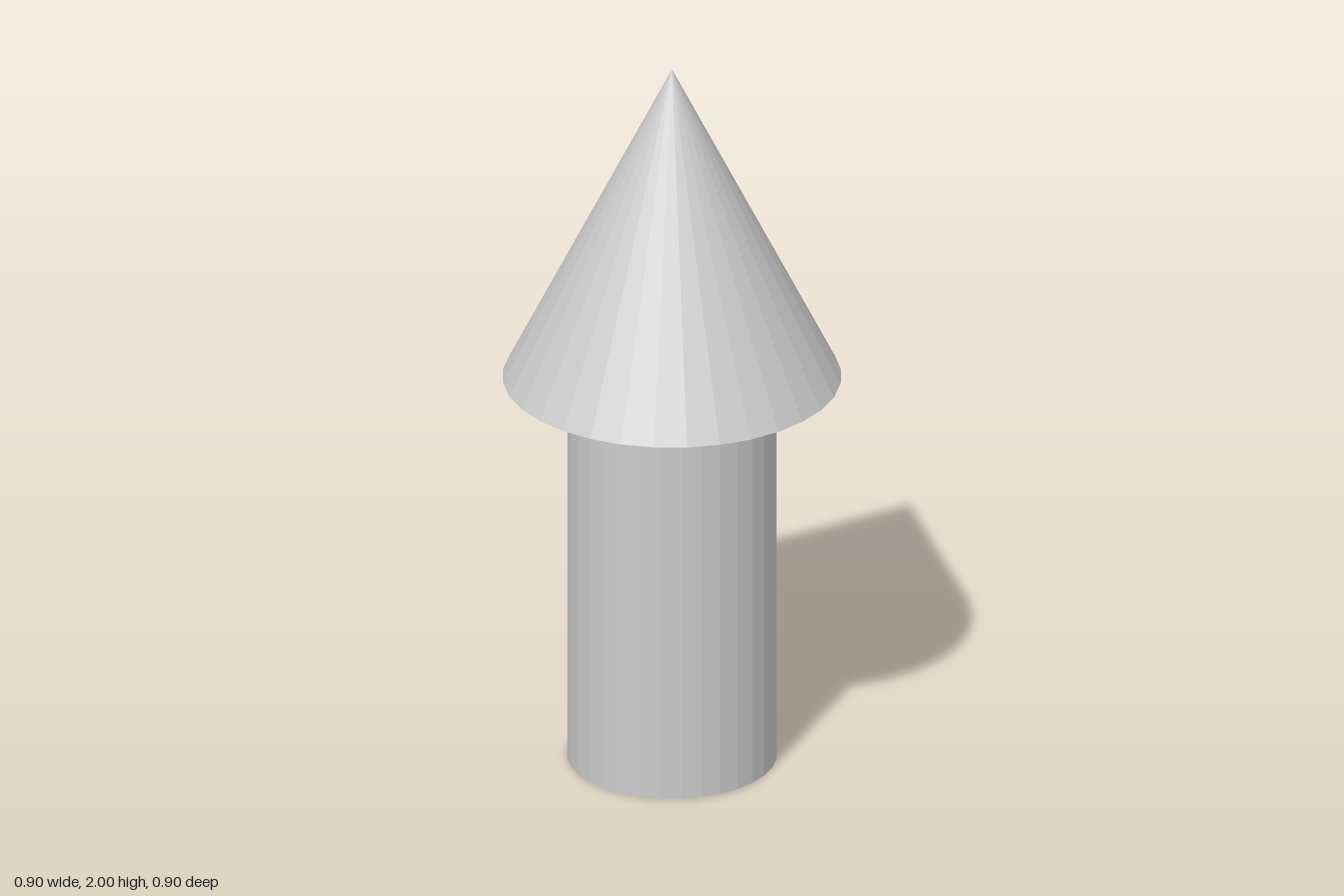
import * as THREE from 'three';

const SIDES = 32;
const BASE_Y = 1.105; // height where the tip meets the shaft

export function createModel() {
  const group = new THREE.Group();
  group.name = 'arrow';
  const material = new THREE.MeshStandardMaterial({ color: 0xcccccc, flatShading: true });

  const addPart = (name, geometry, y) => {
    const mesh = new THREE.Mesh(geometry, material);
    mesh.name = name;
    mesh.position.y = y;
    group.add(mesh);
  };

  // Round shaft standing on the ground
  addPart('shaft', new THREE.CylinderGeometry(0.278, 0.278, BASE_Y, SIDES), BASE_Y / 2);

  // Wide conical tip with a closed underside
  addPart('tip', new THREE.ConeGeometry(0.449, 2 - BASE_Y, SIDES), (2 + BASE_Y) / 2);

  return group;
}
